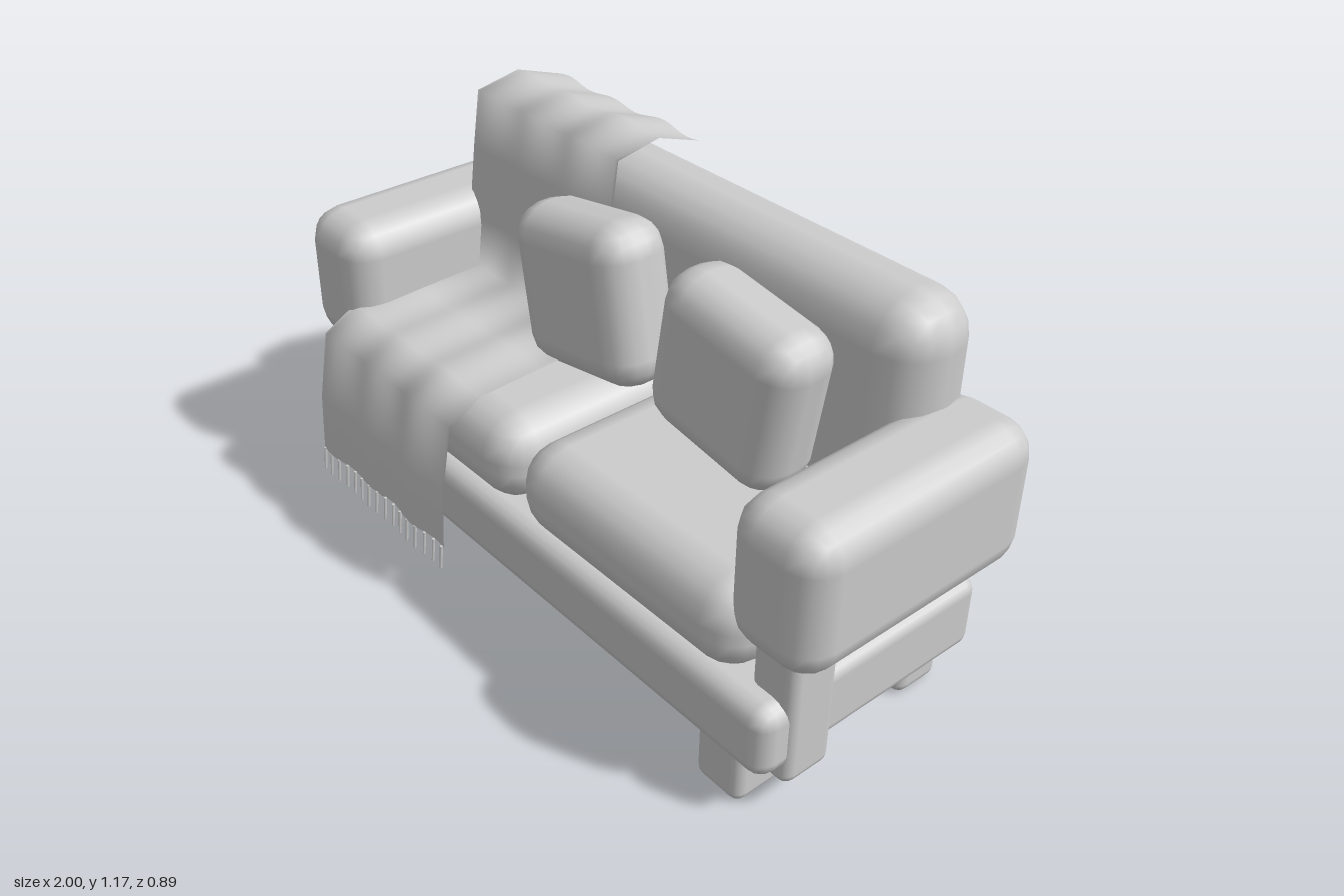
import * as THREE from 'three';
import { RoundedBoxGeometry } from 'three/addons/geometries/RoundedBoxGeometry.js';

export function createModel() {
  const sofa = new THREE.Group();
  sofa.name = 'sofa';
  const fabric = new THREE.MeshStandardMaterial({ color: 0xcccccc, side: THREE.DoubleSide });
  fabric.name = 'light grey';

  // Rounded block given by its [min, max] extents
  function block(name, [x0, x1], [y0, y1], [z0, z1], radius, segments = 2) {
    const geometry = new RoundedBoxGeometry(x1 - x0, y1 - y0, z1 - z0, segments, radius);
    const mesh = new THREE.Mesh(geometry, fabric);
    mesh.name = name;
    mesh.position.set((x0 + x1) / 2, (y0 + y1) / 2, (z0 + z1) / 2);
    sofa.add(mesh);
    return mesh;
  }

  // Frame and backrest
  block('base', [-0.9, 0.9], [0.145, 0.35], [-0.405, 0.31], 0.035);
  block('frontRail', [-0.915, 0.915], [0.145, 0.35], [0.2, 0.34], 0.05);
  block('backrest', [-0.815, 0.815], [0.46, 1.115], [-0.42, -0.155], 0.125);

  // Mirrored arms, posts, legs and seat cushions
  for (const [side, s] of [['left', 1], ['right', -1]]) {
    const span = (a, b) => (s > 0 ? [a, b] : [-b, -a]);
    block(side + 'Arm', span(0.725, 1), [0.46, 0.855], [-0.425, 0.315], 0.09);
    block(side + 'ArmPost', span(0.79, 0.925), [0.1, 0.52], [0.115, 0.265], 0.03);
    block(side + 'FrontLeg', span(0.68, 0.83), [0, 0.2], [0.175, 0.32], 0.03);
    block(side + 'BackLeg', span(0.68, 0.83), [0, 0.2], [-0.385, -0.24], 0.03);
    block(side + 'SeatCushion', span(0, 0.81), [0.35, 0.6], [-0.3, 0.345], 0.11);
  }

  // Tilted throw pillows
  for (const [name, x, y, tilt] of [['leftPillow', 0.398, 0.832, -0.15], ['rightPillow', -0.135, 0.83, 0.18]]) {
    const h = 0.222;
    block(name, [x - h, x + h], [y - h, y + h], [-0.155, 0.06], 0.09).rotation.z = tilt;
  }

  // Blanket: a rippled sheet swept along a side profile of [z, y] points
  const profile = [
    [-0.44, 1.117], [-0.3, 1.163], [-0.163, 1.138], [-0.14, 0.98], [-0.115, 0.78],
    [-0.095, 0.635], [0.1, 0.628], [0.29, 0.62], [0.39, 0.565], [0.425, 0.37], [0.435, 0.2],
  ];
  const x0 = -0.79, width = 0.605, columns = 48;
  const ripple = (x) => 0.006 * Math.sin((x - x0) * 31) + 0.002 * Math.sin((x - x0) * 17);
  const blanketGeometry = new THREE.PlaneGeometry(1, 1, columns, profile.length - 1);
  const position = blanketGeometry.attributes.position;
  for (let row = 0; row < profile.length; row++) {
    const a = profile[Math.max(row - 1, 0)];
    const b = profile[Math.min(row + 1, profile.length - 1)];
    const length = Math.hypot(b[0] - a[0], b[1] - a[1]);
    const nz = -(b[1] - a[1]) / length, ny = (b[0] - a[0]) / length;
    for (let col = 0; col <= columns; col++) {
      const x = x0 + width * col / columns, d = ripple(x);
      position.setXYZ(row * (columns + 1) + col, x, profile[row][1] + ny * d, profile[row][0] + nz * d);
    }
  }
  blanketGeometry.computeVertexNormals();
  const blanket = new THREE.Mesh(blanketGeometry, fabric);
  blanket.name = 'blanket';
  sofa.add(blanket);

  // Fringe along the blanket's lower edge
  const fringe = new THREE.Group();
  fringe.name = 'blanketFringe';
  const tasselGeometry = new THREE.CylinderGeometry(0.005, 0.004, 0.07, 6);
  const tasselCount = 16;
  for (let i = 0; i < tasselCount; i++) {
    const x = x0 + 0.008 + (width - 0.016) * i / (tasselCount - 1);
    const tassel = new THREE.Mesh(tasselGeometry, fabric);
    tassel.name = 'tassel';
    tassel.position.set(x, 0.167, 0.44 + ripple(x) * 0.5);
    tassel.rotation.x = -0.1;
    fringe.add(tassel);
  }
  sofa.add(fringe);
  return sofa;
}
